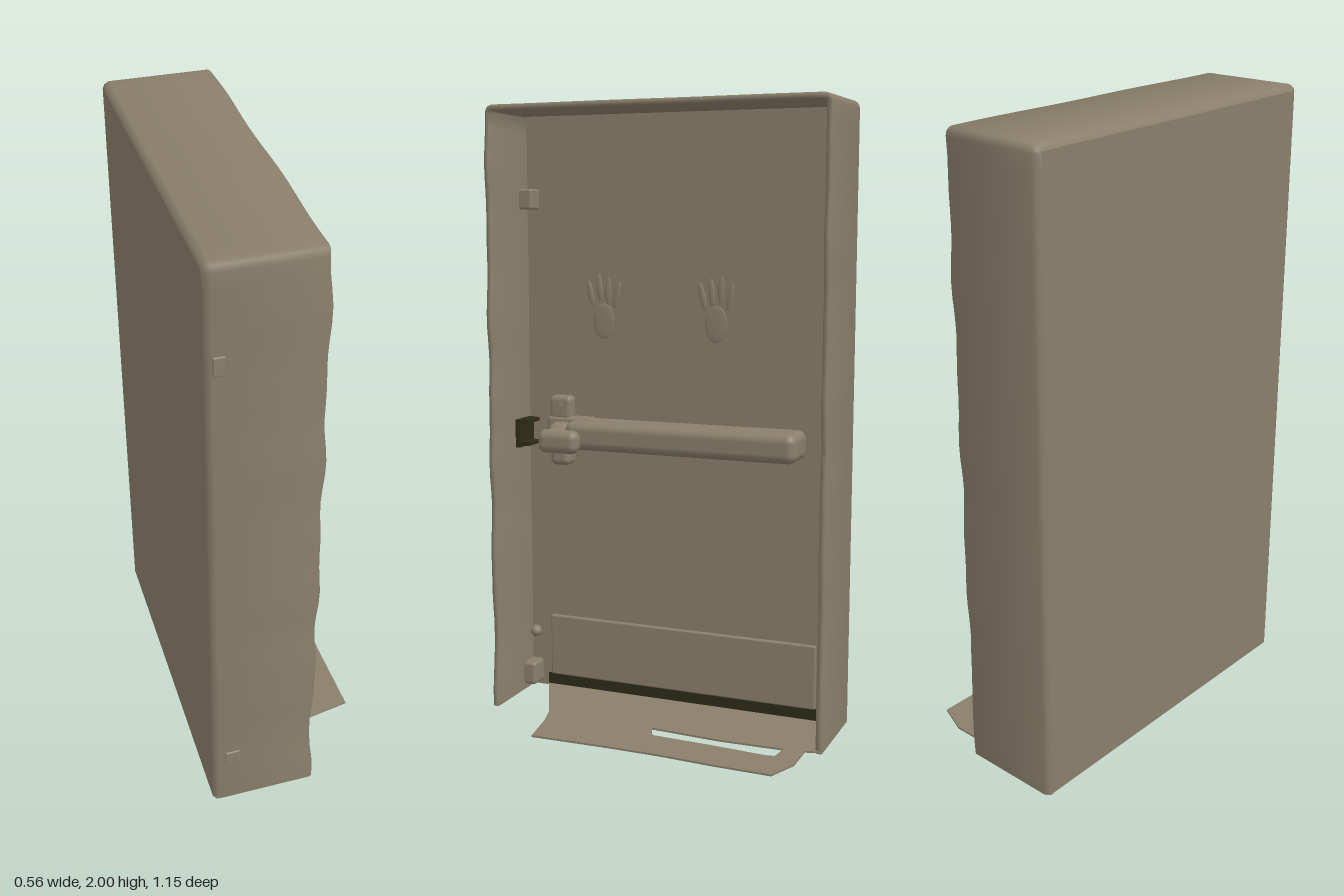
import * as THREE from 'three';
import { toCreasedNormals } from 'three/addons/utils/BufferGeometryUtils.js';
import { RoundedBoxGeometry } from 'three/addons/geometries/RoundedBoxGeometry.js';

const taupe = new THREE.MeshStandardMaterial({ color: 0x8a7f6b, side: THREE.DoubleSide });
taupe.name = 'taupe metal';
const dark = new THREE.MeshStandardMaterial({ color: 0x2e2b16 });
dark.name = 'dark olive';

const BACK = -0.28, PANEL = -0.2, HALF = 0.575, TOP = 2;

function add(group, name, geometry, position = [0, 0, 0], material = taupe) {
  const mesh = new THREE.Mesh(geometry, material);
  mesh.name = name;
  mesh.position.set(...position);
  group.add(mesh);
  return mesh;
}

// Box given by its extents [min, max] on each axis; r rounds the edges
function block(group, name, x, y, z, r = 0, material = taupe) {
  const size = [x, y, z].map(([a, b]) => b - a);
  const mid = [x, y, z].map(([a, b]) => (a + b) / 2);
  const geometry = r ? new RoundedBoxGeometry(...size, 3, r) : new THREE.BoxGeometry(...size);
  return add(group, name, geometry, mid, material);
}

// Path up the left wall, over the top and down the right wall: [z, y, normal z, normal y]
function wallPath() {
  const r = 0.025, pts = [];
  const n = 40;
  for (let i = 0; i < n; i++) pts.push([HALF, (TOP - r) * i / n, 1, 0]);
  for (let i = 0; i <= 4; i++) {
    const a = i * Math.PI / 8, c = Math.cos(a), s = Math.sin(a);
    pts.push([HALF - r + r * c, TOP - r + r * s, c, s]);
  }
  for (let i = 1; i < 24; i++) pts.push([(HALF - r) * (1 - i / 12), TOP, 0, 1]);
  const half = pts.slice(0, n + 5).reverse();
  return pts.concat(half.map(([z, y, nz, ny]) => [-z, y, -nz, ny]));
}

// Thin surrounding wall with rounded back edges and an uneven front edge
function wallGeometry() {
  const profile = [[BACK, 0.02], [-0.274, 0.007], [-0.26, 0], [0.046, 0],
    [0.051, 0.004], [0.051, 0.016], [0.046, 0.02], [PANEL, 0.022]];
  const path = wallPath(), m = profile.length, pos = [], index = [];
  path.forEach(([z, y, nz, ny], i) => {
    const wave = 0.004 * Math.sin(y * 14 + z * 3) + 0.003 * Math.sin(y * 25 + z * 11);
    const dip = -0.01 * Math.exp(-(((y - 0.3) / 0.07) ** 2));
    profile.forEach(([x, inset], j) => {
      pos.push(x + (x > 0 ? wave + dip : 0), y - ny * inset, z - nz * inset);
      if (i < path.length - 1 && j < m - 1) {
        const a = i * m + j;
        index.push(a, a + 1, a + m, a + 1, a + m + 1, a + m);
      }
    });
  });
  const g = new THREE.BufferGeometry();
  g.setAttribute('position', new THREE.Float32BufferAttribute(pos, 3));
  g.setIndex(index);
  return toCreasedNormals(g, 0.9);
}

// Floor sheet that runs out past the opening as a torn flap with a slot
function floorGeometry() {
  const toPoints = (list) => list.map(([x, z]) => new THREE.Vector2(x, -z));
  const shape = new THREE.Shape(toPoints([
    [-0.27, 0.53], [0.05, 0.365], [0.13, 0.34], [0.27, 0.315], [0.262, 0.05], [0.262, -0.12],
    [0.272, -0.3], [0.275, -0.485], [0.175, -0.525], [0.06, -0.525], [0.05, -0.565], [-0.27, -0.565],
  ]));
  shape.holes.push(new THREE.Path(toPoints([
    [0.07, -0.46], [0.135, -0.452], [0.14, -0.42], [0.128, -0.25], [0.12, -0.04],
    [0.105, -0.03], [0.063, -0.015], [0.077, -0.25],
  ])));
  const g = new THREE.ExtrudeGeometry(shape, { depth: 0.006, bevelEnabled: false });
  return g.rotateX(-Math.PI / 2);
}

export function createModel() {
  const model = new THREE.Group();
  model.name = 'doorUnit';

  // Shell
  add(model, 'surroundingWall', wallGeometry());
  block(model, 'doorPanel', [BACK, PANEL], [0.004, 1.98], [-0.555, 0.555]);
  block(model, 'wallFoot', [BACK + 0.01, 0.045], [0, 0.01], [0.554, 0.573]);
  add(model, 'floorFlap', floorGeometry(), [0, 0.004, 0]);

  // Kick plate and the gap below it
  block(model, 'kickPlate', [PANEL - 0.01, PANEL + 0.014], [0.05, 0.265], [-0.485, 0.475], 0.006);
  block(model, 'floorGap', [PANEL - 0.002, PANEL + 0.006], [0.012, 0.05], [-0.55, 0.49], 0, dark);

  // Push bar with its lever mechanism
  const handle = new THREE.Group();
  handle.name = 'handle';
  model.add(handle);
  block(handle, 'pushBar', [PANEL - 0.01, -0.06], [0.877, 0.973], [-0.442, 0.36], 0.03);
  block(handle, 'mountPlate', [PANEL - 0.01, -0.155], [0.875, 0.975], [0.3, 0.468], 0.015);
  block(handle, 'upperLug', [PANEL - 0.01, -0.16], [0.96, 1.045], [0.378, 0.462], 0.018);
  block(handle, 'lowerLug', [PANEL - 0.01, -0.14], [0.808, 0.89], [0.378, 0.45], 0.02);
  block(handle, 'leverHousing', [-0.17, -0.09], [0.86, 0.96], [0.36, 0.44], 0.03);
  const stem = add(handle, 'leverStem', new THREE.CylinderGeometry(0.035, 0.042, 0.1, 16), [-0.07, 0.913, 0.39]);
  stem.rotation.z = -Math.PI / 2;
  block(handle, 'leverKnob', [-0.06, 0.0], [0.872, 0.95], [0.285, 0.43], 0.028);
  const screw = add(handle, 'lugScrew', new THREE.CylinderGeometry(0.013, 0.013, 0.012, 12), [-0.158, 1.01, 0.42]);
  screw.rotation.z = Math.PI / 2;

  // Strike bracket on the left wall
  block(model, 'strikePlate', [-0.19, -0.09], [0.87, 0.965], [0.535, 0.552], 0, dark);
  for (const y of [0.875, 0.952]) {
    block(model, 'strikeArm', [-0.18, -0.1], [y, y + 0.013], [0.508, 0.54], 0, dark);
  }

  // Hinges
  block(model, 'upperHinge', [PANEL - 0.005, -0.14], [1.67, 1.738], [0.508, 0.56], 0.008);
  block(model, 'upperHingeCover', [-0.26, -0.225], [1.675, 1.735], [0.56, 0.58], 0.005);
  block(model, 'lowerHinge', [PANEL - 0.005, -0.13], [0.02, 0.1], [0.51, 0.56], 0.012);
  block(model, 'lowerHingeCover', [-0.24, -0.19], [0.17, 0.22], [0.56, 0.58], 0.005);
  add(model, 'hingePin', new THREE.SphereGeometry(0.02, 14, 10), [-0.18, 0.203, 0.53]);

  // Faint hand-shaped dents, each a palm and four fingers
  const dent = new THREE.SphereGeometry(1, 14, 10);
  for (const [z, y, dir] of [[0.27, 1.3, 1], [-0.13, 1.3, -1]]) {
    const palm = add(model, 'palmDent', dent, [PANEL, y, z]);
    palm.scale.set(0.004, 0.06, 0.04);
    for (let i = 0; i < 4; i++) {
      const finger = add(model, 'fingerDent', dent, [PANEL, y + 0.09 + 0.012 * (i % 3), z + dir * (i - 1.5) * 0.032]);
      finger.scale.set(0.004, 0.045, 0.011);
      finger.rotation.x = dir * (i - 1.5) * 0.14;
    }
  }
  return model;
}
